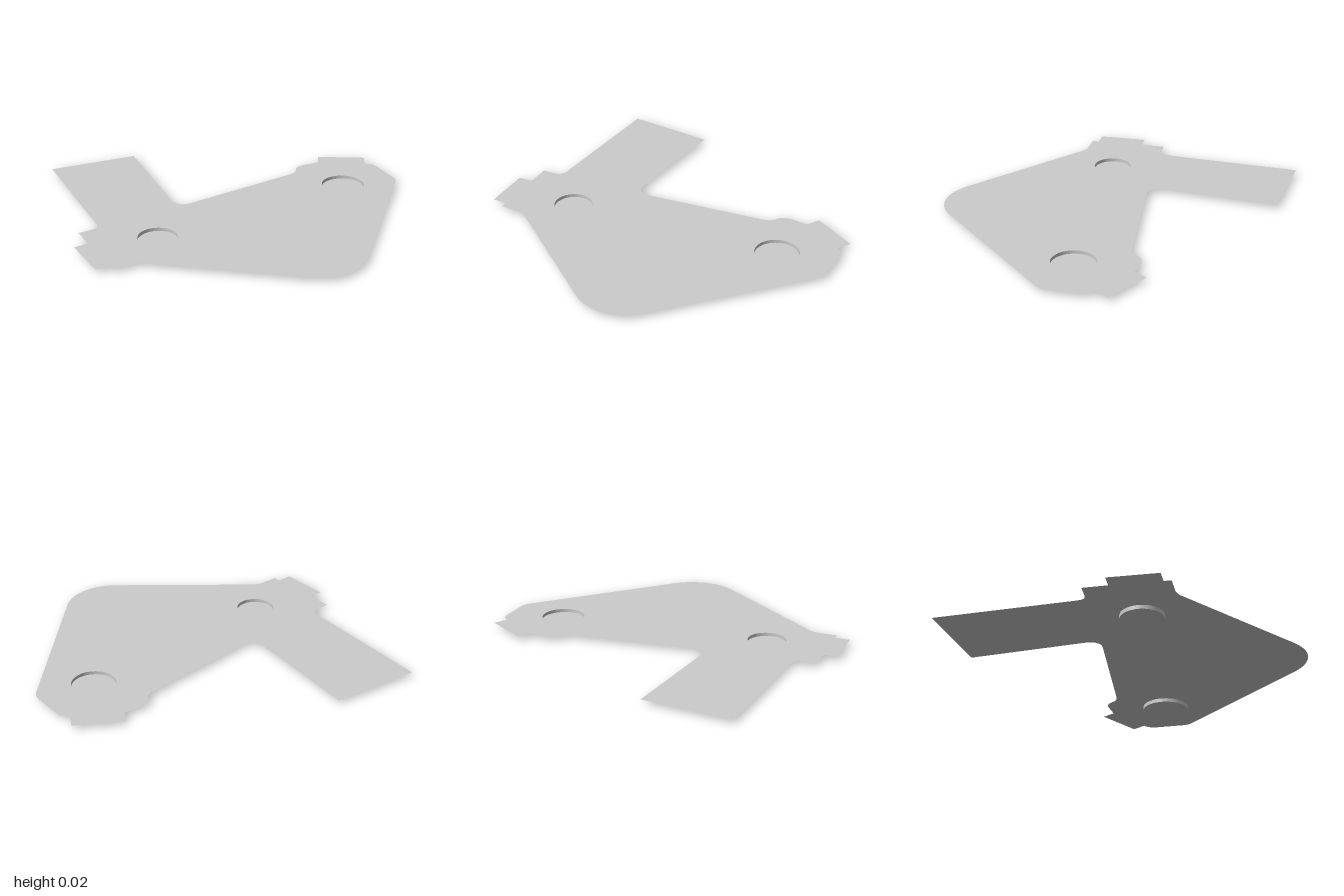
import * as THREE from 'three';

const PLATE_Y = 0.022;
const FLOOR_Y = 0.003;

// round recesses: centre, opening radius, outer radius
const recesses = [
  { name: 'rightRecess', x: -0.56, z: 0.108, inner: 0.107, outer: 0.119 },
  { name: 'leftRecess', x: 0.658, z: 0.14, inner: 0.121, outer: 0.134 },
];

// plate outline seen from above; 4 numbers = rounded corner (control x, z, end x, z)
const outline = [
  [-0.64, -0.98], [-0.145, -0.88],
  [-0.27, -0.235], [-0.285, -0.14, -0.2, -0.14],           // inner corner of the arm
  [0.49, -0.14], [0.525, -0.14, 0.55, -0.17], [0.575, -0.21, 0.63, -0.204],
  [0.725, -0.185], [0.775, -0.25], [0.997, -0.085], [0.945, -0.015],
  [0.985, 0.01, 0.98, 0.06], [0.963, 0.21], [0.96, 0.262, 0.93, 0.285],
  [0.235, 0.89], [0.15, 0.974, 0.036, 0.977], [-0.075, 0.977, -0.165, 0.89], // round nose
  [-0.755, 0.325], [-0.785, 0.297, -0.82, 0.295],
  [-0.92, 0.285], [-0.917, 0.245], [-1, 0.237], [-0.98, -0.035], [-0.9, -0.03],
  [-0.887, -0.165], [-0.8, -0.16], [-0.765, -0.16, -0.757, -0.205],
];

export function createModel() {
  const group = new THREE.Group();
  const material = new THREE.MeshStandardMaterial({ color: 0xcccccc, side: THREE.DoubleSide });

  // thin plate with two round openings
  const shape = new THREE.Shape();
  outline.forEach((p, i) => {
    if (i === 0) shape.moveTo(p[0], -p[1]);
    else if (p.length === 2) shape.lineTo(p[0], -p[1]);
    else shape.quadraticCurveTo(p[0], -p[1], p[2], -p[3]);
  });
  shape.closePath();
  for (const r of recesses) {
    shape.holes.push(new THREE.Path().absarc(r.x, -r.z, r.inner, 0, Math.PI * 2, true));
  }
  const plate = new THREE.Mesh(new THREE.ShapeGeometry(shape, 24), material);
  plate.name = 'plate';
  plate.rotation.x = -Math.PI / 2;
  plate.position.y = PLATE_Y;
  group.add(plate);

  // shallow cups under the openings, each surface separate for sharp edges
  for (const r of recesses) {
    const cup = new THREE.Group();
    cup.name = r.name;
    cup.position.set(r.x, 0, r.z);
    const add = (name, ...points) => {
      const profile = points.map(([x, y]) => new THREE.Vector2(x, y));
      const mesh = new THREE.Mesh(new THREE.LatheGeometry(profile, 48), material);
      mesh.name = name;
      cup.add(mesh);
    };
    add('underside', [0, 0], [r.outer, 0]);
    add('outerWall', [r.outer, 0], [r.outer, PLATE_Y]);
    add('innerWall', [r.inner, PLATE_Y], [r.inner, FLOOR_Y]);
    add('floor', [r.inner, FLOOR_Y], [0, FLOOR_Y]);
    group.add(cup);
  }
  return group;
}
